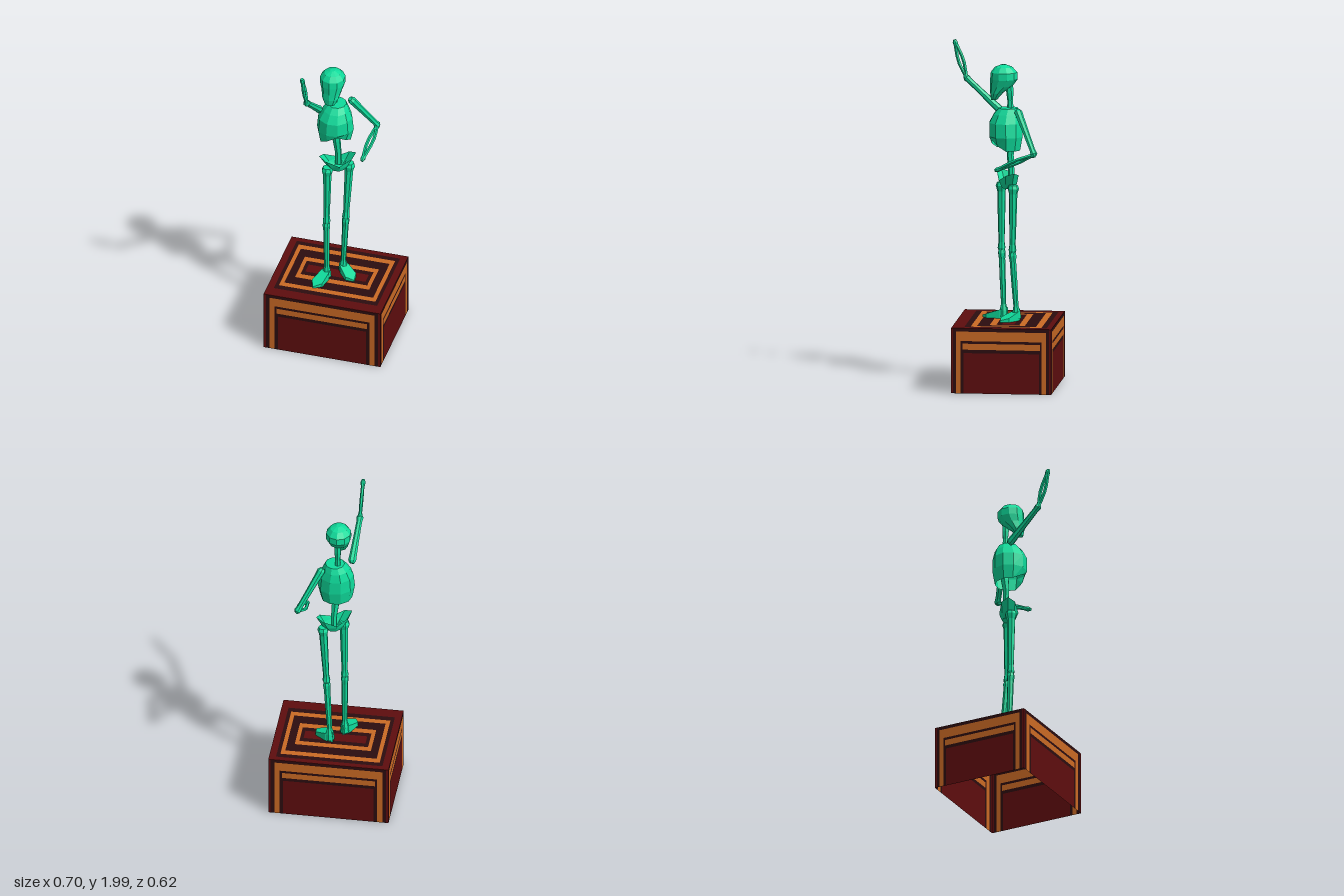
import * as THREE from 'three';
import { mergeGeometries } from 'three/addons/utils/BufferGeometryUtils.js';

const makeMaterial = (name, color) => {
  const m = new THREE.MeshStandardMaterial({ color, side: THREE.DoubleSide });
  m.name = name;
  return m;
};

const V = (p) => new THREE.Vector3(...p);

// Faceted normals for the low-poly look
function facet(geometry) {
  const g = geometry.index ? geometry.toNonIndexed() : geometry;
  g.computeVertexNormals();
  return g;
}

// Skin over elliptical rings [y, cx, cz, rx, rz]; lift(angle, ring) shifts vertices in y
function loft(rings, n, { twist = 0, lift = () => 0, bottom = true, top = true } = {}) {
  const pos = [], idx = [];
  rings.forEach(([y, cx, cz, rx, rz], r) => {
    for (let i = 0; i < n; i++) {
      const a = (i / n) * Math.PI * 2;
      const x = Math.sin(a) * rx, z = Math.cos(a) * rz;
      pos.push(cx + x * Math.cos(twist) + z * Math.sin(twist), y + lift(a, r),
        cz - x * Math.sin(twist) + z * Math.cos(twist));
    }
  });
  for (let r = 0; r < rings.length - 1; r++) {
    for (let i = 0; i < n; i++) {
      const a = r * n + i, b = r * n + (i + 1) % n;
      idx.push(a, b, b + n, a, b + n, a + n);
    }
  }
  const last = (rings.length - 1) * n;
  for (let i = 1; i < n - 1; i++) {
    if (bottom) idx.push(0, i + 1, i);
    if (top) idx.push(last, last + i, last + i + 1);
  }
  const g = new THREE.BufferGeometry();
  g.setAttribute('position', new THREE.Float32BufferAttribute(pos, 3));
  g.setIndex(idx);
  return facet(g);
}

// Turned bone from a to b; profile is [fraction along, radius]
function bone(a, b, profile, sides = 7) {
  const A = V(a), dir = V(b).sub(A), len = dir.length();
  const pts = [[profile[0][0], 0], ...profile, [profile.at(-1)[0], 0]]
    .map(([t, r]) => new THREE.Vector2(r, t * len));
  const g = new THREE.LatheGeometry(pts, sides);
  g.applyQuaternion(new THREE.Quaternion().setFromUnitVectors(V([0, 1, 0]), dir.normalize()));
  g.translate(A.x, A.y, A.z);
  return facet(g);
}

// Two slim bones bowing apart between elbow and wrist
function forearm(a, b, bow) {
  const parts = [1, -1].map((s) => {
    const mid = V(a).lerp(V(b), 0.45).addScaledVector(V(bow), s);
    const curve = new THREE.CatmullRomCurve3([V(a), mid, V(b)]);
    return facet(new THREE.TubeGeometry(curve, 5, 0.01, 5));
  });
  return mergeGeometries([...parts, bone(a, b, [[-0.06, 0.008], [0, 0.018], [0.1, 0.012]]),
    bone(a, b, [[0.85, 0.012], [0.95, 0.015], [1.02, 0.009]])]);
}

// Flat nested rectangles [colour index, x0, x1, y0, y1]; each band is cut around the next
function nestedPanel(rects, place, buckets) {
  rects.forEach(([colour, x0, x1, y0, y1], i) => {
    const q = rects[i + 1];
    const pieces = q
      ? [[x0, q[1], y0, y1], [q[2], x1, y0, y1], [q[1], q[2], y0, q[3]], [q[1], q[2], q[4], y1]]
      : [[x0, x1, y0, y1]];
    for (const [a, b, c, d] of pieces) {
      if (b - a < 1e-5 || d - c < 1e-5) continue;
      const g = new THREE.PlaneGeometry(b - a, d - c);
      g.translate((a + b) / 2, (c + d) / 2, 0);
      buckets[colour].push(g.applyMatrix4(place));
    }
  });
}

export function createModel() {
  const model = new THREE.Group();
  model.name = 'statueOnPedestal';
  const green = makeMaterial('patinaGreen', 0x0fdc9c);
  const paints = [makeMaterial('deepRed', 0x5e0d0e), makeMaterial('darkBrown', 0x2c0d0f),
    makeMaterial('orange', 0xca6a24)];
  const add = (name, geometry, material = green) => {
    const m = new THREE.Mesh(geometry, material);
    m.name = name;
    model.add(m);
  };

  // Pedestal: four banded walls and a banded top, open underneath
  const W = 0.35, D = 0.29, H = 0.38, CZ = -0.022;
  const buckets = [[], [], []];
  const wallBands = [[0, 1, 0.38], [1, 0.96, 0.378], [2, 0.9, 0.36], [1, 0.81, 0.305],
    [2, 0.775, 0.29], [1, 0.775, 0.255], [0, 0.755, 0.235]];
  for (let i = 0; i < 4; i++) {
    const half = i % 2 ? D : W, out = i % 2 ? W : D;
    const place = new THREE.Matrix4().makeTranslation(0, 0, CZ)
      .multiply(new THREE.Matrix4().makeRotationY(i * Math.PI / 2))
      .multiply(new THREE.Matrix4().makeTranslation(0, 0, out));
    nestedPanel(wallBands.map(([c, u, h]) => [c, -u * half, u * half, 0, h]), place, buckets);
  }
  const topBands = [[0, W, CZ - D, CZ + D], [1, 0.31, -0.28, 0.197], [2, 0.289, -0.249, 0.162],
    [1, 0.266, -0.213, 0.128], [2, 0.222, -0.145, 0.06], [1, 0.2, -0.11, 0.023],
    [0, 0.18, -0.078, -0.008]];
  const topPlace = new THREE.Matrix4().makeTranslation(0, H, 0)
    .multiply(new THREE.Matrix4().makeRotationX(-Math.PI / 2));
  nestedPanel(topBands.map(([c, x, z0, z1]) => [c, -x, x, -z1, -z0]), topPlace, buckets);
  ['pedestalRed', 'pedestalBrownBands', 'pedestalOrangeBands'].forEach((name, i) =>
    add(name, mergeGeometries(buckets[i]), paints[i]));

  // Skull with the jaw pushed forward
  add('skull', loft([
    [1.66, -0.013, 0.06, 0.03, 0.018], [1.70, -0.013, 0.045, 0.05, 0.038],
    [1.74, -0.012, 0.018, 0.06, 0.065], [1.78, -0.012, 0.003, 0.073, 0.08],
    [1.82, -0.012, 0.002, 0.073, 0.077], [1.85, -0.012, 0.004, 0.05, 0.052],
    [1.865, -0.012, 0.005, 0.014, 0.014]], 10));

  // Neck and lower spine
  add('neck', bone([-0.012, 1.59, -0.035], [-0.012, 1.75, -0.03],
    [[0, 0.02], [0.4, 0.016], [0.7, 0.021], [1, 0.02]], 6));
  add('spine', loft([[1.17, 0.008, -0.045, 0.02, 0.02], [1.25, 0.008, -0.042, 0.019, 0.018],
    [1.34, 0.0, -0.035, 0.024, 0.02], [1.4, -0.005, -0.04, 0.032, 0.024],
    [1.5, -0.005, -0.05, 0.025, 0.02]], 6));

  // Rib cage, hollow below with an arch at the front
  add('ribCage', loft([
    [1.37, -0.002, -0.01, 0.092, 0.085], [1.45, 0, -0.01, 0.108, 0.1],
    [1.53, 0, -0.01, 0.1, 0.1], [1.58, 0.002, -0.018, 0.076, 0.082],
    [1.615, 0.006, -0.025, 0.055, 0.058]], 10,
  { twist: 0.4, bottom: false, lift: (a, r) => (r === 0 ? 0.06 * Math.max(0, Math.cos(a)) ** 3 : 0) }));

  // Pelvis with raised hip wings
  add('pelvis', loft([
    [1.15, 0.012, -0.025, 0.042, 0.038], [1.18, 0.012, -0.025, 0.07, 0.05],
    [1.195, 0.01, -0.022, 0.108, 0.055]], 8,
  { twist: 0.45, top: false, lift: (a, r) => (r === 2 ? 0.052 * Math.abs(Math.sin(a)) : 0) }));

  // Legs: hip, knee, ankle, toe
  const legs = {
    right: [[-0.04, 1.175, 0.02], [-0.045, 0.78, 0.02], [-0.046, 0.41, 0.008], [-0.09, 0.39, 0.13]],
    left: [[0.07, 1.175, -0.06], [0.05, 0.78, -0.053], [0.027, 0.41, -0.075], [0.112, 0.39, 0.005]],
  };
  for (const [side, [hip, knee, ankle, toe]] of Object.entries(legs)) {
    add(side + 'Thigh', bone(hip, knee, [[0, 0.026], [0.05, 0.034], [0.13, 0.025], [0.5, 0.022],
      [0.88, 0.018], [0.97, 0.023], [1, 0.02]]));
    add(side + 'Shin', bone(knee, ankle, [[-0.01, 0.018], [0.05, 0.023], [0.14, 0.019], [0.5, 0.018],
      [0.85, 0.015], [0.95, 0.024], [1.05, 0.027]]));
    // Foot: a wedge fanning out toward the toes
    const dir = V(toe).sub(V(ankle)).setY(0), len = dir.length();
    const foot = new THREE.CylinderGeometry(0.5, 0.5, 1, 6);
    const p = foot.attributes.position;
    for (let i = 0; i < p.count; i++) {
      const t = p.getZ(i) + 0.5;
      p.setXYZ(i, p.getX(i) * (0.05 + 0.045 * t), p.getY(i) > 0 ? 0.065 - 0.055 * t : 0,
        t * (len + 0.035) - 0.027);
    }
    foot.rotateY(Math.atan2(dir.x, dir.z));
    foot.translate(ankle[0], H + 0.001, ankle[2]);
    add(side + 'Foot', facet(foot));
  }

  // Arms: right raised forward, left bent with the hand coming back to the front
  const arms = {
    right: [[-0.085, 1.595, 0.04], [-0.102, 1.77, 0.23], [-0.11, 1.985, 0.3], [0, -0.005, 0.014]],
    left: [[0.075, 1.6, -0.09], [0.198, 1.375, -0.195], [0.172, 1.275, 0.03], [0.019, 0.012, 0]],
  };
  for (const [side, [shoulder, elbow, wrist, bow]] of Object.entries(arms)) {
    add(side + 'UpperArm', bone(shoulder, elbow, [[-0.06, 0.014], [0, 0.024], [0.12, 0.022],
      [0.5, 0.019], [0.9, 0.017], [1, 0.021], [1.04, 0.012]]));
    add(side + 'Forearm', forearm(elbow, wrist, bow));
  }
  return model;
}
